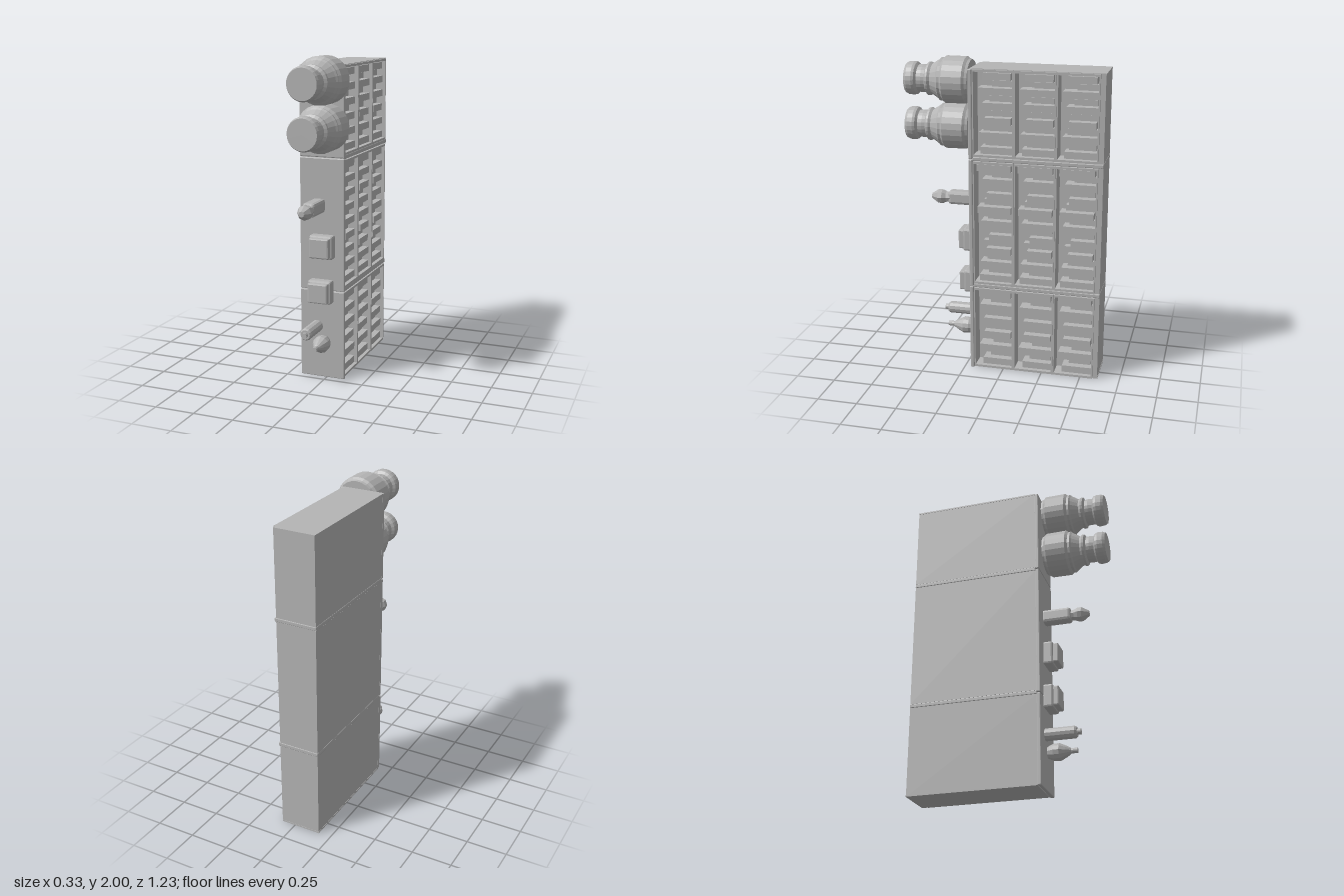
import * as THREE from 'three';
import { RoundedBoxGeometry } from 'three/addons/geometries/RoundedBoxGeometry.js';

export function createModel() {
  const root = new THREE.Group();
  const grey = new THREE.MeshStandardMaterial({ color: 0xb4b4b4, flatShading: true });
  grey.name = 'plain grey';

  const add = (name, geo, parent = root) => {
    const m = new THREE.Mesh(geo, grey);
    m.name = name;
    parent.add(m);
    return m;
  };
  // box given by its limits, with an optional rounded edge
  const box = (name, x0, x1, y0, y1, z0, z1, r = 0, parent = root) => {
    const s = [x1 - x0, y1 - y0, z1 - z0];
    const geo = r ? new RoundedBoxGeometry(...s, 1, r) : new THREE.BoxGeometry(...s);
    const m = add(name, geo, parent);
    m.position.set((x0 + x1) / 2, (y0 + y1) / 2, (z0 + z1) / 2);
    return m;
  };
  // turned part along z; profile is [z, radius] from back to front
  const turned = (name, x, y, profile, sides) => {
    const pts = profile.map(([z, r]) => new THREE.Vector2(r, z));
    const geo = new THREE.LatheGeometry(pts, sides).rotateX(Math.PI / 2);
    add(name, geo).position.set(x, y, 0);
  };

  // three stacked cabinet modules: [bottom, top, number of slats]
  const modules = [[0, 0.565, 11], [0.565, 1.39, 17], [1.39, 1.94, 11]];
  const lengths = [0.19, 0.172, 0.21, 0.155, 0.2, 0.165, 0.215, 0.185, 0.205, 0.15, 0.21];
  const names = ['lower', 'middle', 'upper'];
  modules.forEach(([y0, y1, count], i) => {
    const g = new THREE.Group();
    g.name = names[i] + 'Cabinet';
    root.add(g);
    const b = i === 0 ? 0 : y0 + 0.012, t = i === 2 ? y1 : y1 - 0.012;
    box('rearBody', -0.168, 0, b, t, -0.61, 0.19, 0, g);
    box('backPanel', 0, 0.09, b, t, -0.61, -0.58, 0, g);
    box('frontPanel', -0.17, 0.118, y0 + 0.002, y1 - 0.002, 0.188, 0.212, 0.005, g);

    // three open bays, each with its own frame and uneven slats
    for (let c = 0; c < 3; c++) {
      const z1 = 0.19 - c * 0.257, z0 = z1 - 0.256;
      const lo = b + 0.003, hi = t - 0.003, w = 0.014;
      box('bayBottom', 0, 0.105, lo, lo + w, z0, z1, 0, g);
      box('bayTop', 0, 0.105, hi - w, hi, z0, z1, 0, g);
      box('bayFrontSide', 0, 0.105, lo + w, hi - w, z1 - 0.009, z1, 0, g);
      box('bayBackSide', 0, 0.105, lo + w, hi - w, z0, z0 + 0.009, 0, g);
      const start = lo + w + 0.004, pitch = (hi - lo - 2 * w - 0.008) / count;
      for (let k = 0; k < count; k++) {
        const long = k % 2 === 0;
        const len = lengths[(k * 3 + i * 2) % 11] * (long ? 1 : 0.9);
        const y = start + k * pitch, h = pitch * (long ? 0.94 : 0.8);
        const zb = z0 + 0.009 + (k % 3 === 1 ? 0.012 : 0);
        box('slat', -0.01, long ? 0.085 : 0.045, y, y + h, zb, zb + len, 0, g);
      }
    }
  });

  // plates between modules, plus base and cap
  box('basePlate', -0.17, 0.09, 0, 0.01, -0.612, 0.19);
  box('capPlate', -0.17, 0.09, 1.93, 1.94, -0.612, 0.19);
  for (const y of [0.565, 1.39]) box('joiningPlate', -0.17, 0.1, y - 0.012, y + 0.012, -0.612, 0.19, 0.004);

  // large turned knobs
  const knob = [[0.21, 0], [0.21, 0.125], [0.225, 0.13], [0.24, 0.142], [0.365, 0.143],
    [0.38, 0.13], [0.395, 0.132], [0.405, 0.122], [0.45, 0.093], [0.465, 0.102], [0.478, 0.1],
    [0.488, 0.083], [0.51, 0.085], [0.538, 0.083], [0.55, 0.098], [0.565, 0.102],
    [0.598, 0.1], [0.614, 0.092], [0.614, 0]];
  for (const y of [1.578, 1.857]) turned('largeKnob', 0.02, y, knob, 24);

  // lever with a faceted tip
  box('leverStem', -0.085, -0.005, 1.055, 1.14, 0.2, 0.385, 0.018);
  turned('leverTip', -0.04, 1.097, [[0.37, 0], [0.37, 0.034], [0.4, 0.034], [0.425, 0.046],
    [0.45, 0.046], [0.493, 0.018], [0.493, 0]], 8);

  // two stepped push buttons
  for (const [x, y] of [[-0.015, 0.848], [-0.025, 0.565]]) {
    box('buttonBase', x - 0.075, x + 0.075, y - 0.073, y + 0.073, 0.205, 0.27, 0.012);
    box('buttonCap', x - 0.064, x + 0.064, y - 0.062, y + 0.062, 0.26, 0.302, 0.008);
  }

  // slim peg and small bulb
  turned('peg', -0.06, 0.332, [[0.2, 0], [0.2, 0.038], [0.39, 0.038], [0.402, 0.03],
    [0.402, 0.018], [0.425, 0.018], [0.425, 0]], 12);
  turned('bulb', -0.008, 0.238, [[0.2, 0], [0.2, 0.03], [0.225, 0.042], [0.25, 0.052], [0.285, 0.053],
    [0.32, 0.036], [0.347, 0.02], [0.352, 0.016], [0.39, 0.016], [0.39, 0]], 12);

  return root;
}
